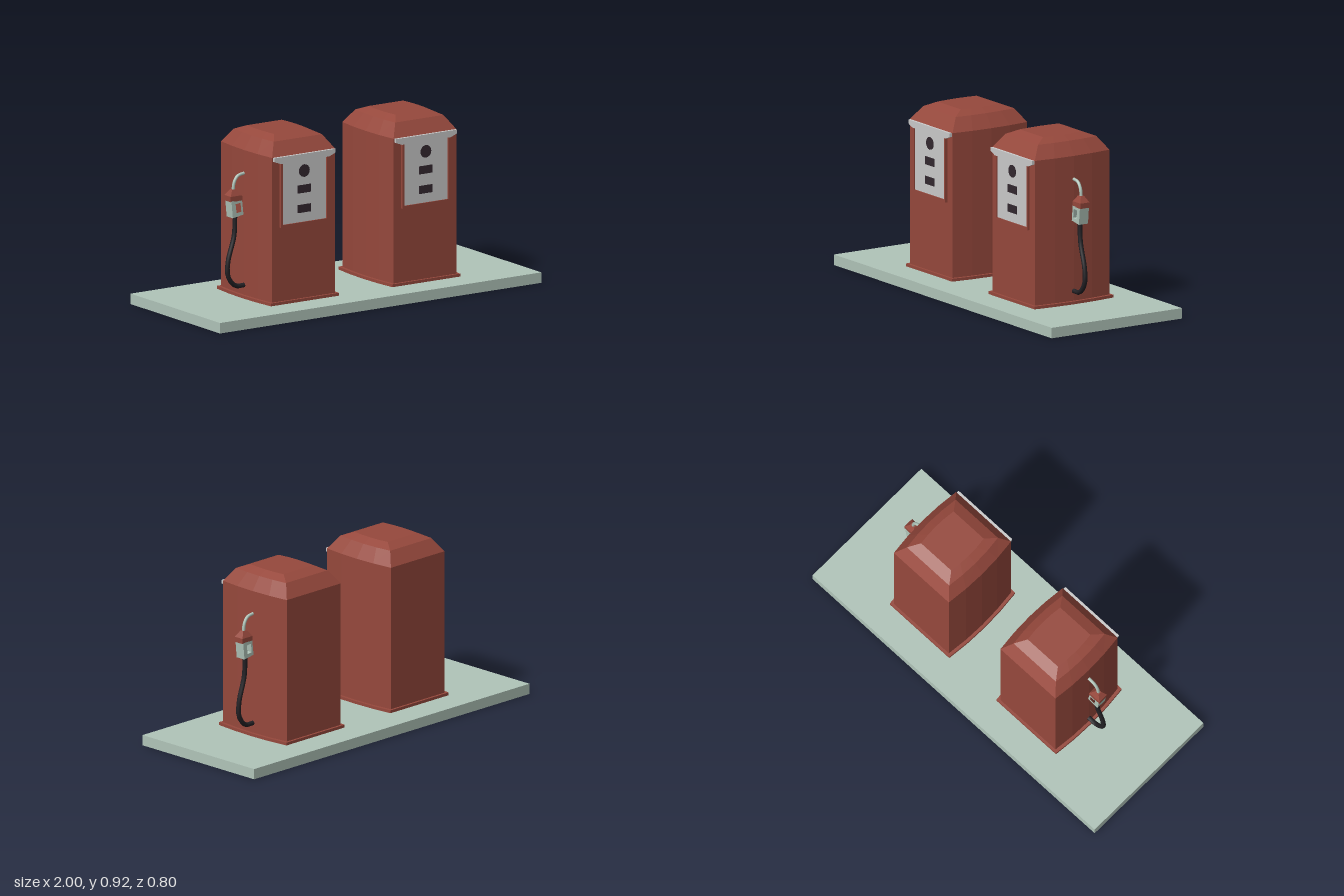
import * as THREE from 'three';

const mat = (name, color) => {
  const m = new THREE.MeshStandardMaterial({ color });
  m.name = name;
  return m;
};

// Solid skinned over stacked rings, each running counter-clockwise from above
function loft(rings) {
  const n = rings[0].length, idx = [], last = (rings.length - 1) * n;
  for (let r = 0; r < rings.length - 1; r++) {
    for (let i = 0; i < n; i++) {
      const j = (i + 1) % n, a = r * n + i, b = r * n + j;
      idx.push(a, b, b + n, a, b + n, a + n);
    }
  }
  for (let i = 1; i < n - 1; i++) {
    idx.push(0, i + 1, i, last, last + i, last + i + 1);
  }
  const g = new THREE.BufferGeometry();
  g.setAttribute('position', new THREE.Float32BufferAttribute(rings.flat(2), 3));
  g.setIndex(idx);
  const flat = g.toNonIndexed();
  flat.computeVertexNormals();
  return flat;
}

// Rectangle ring whose two sides bow outward by "bulge"
function bowedRing(y, halfX, halfZ, bulge) {
  const side = [1, 0.5, 0, -0.5, -1].map(t => [halfX + bulge * (1 - t * t), y, t * halfZ]);
  return [...side, ...side.map(([x, yy, z]) => [-x, yy, -z])];
}

function rectRing(y, xa, xb, z) {
  const a = Math.min(xa, xb), b = Math.max(xa, xb);
  return [[b, y, z], [b, y, -z], [a, y, -z], [a, y, z]];
}

const toShape = pts => new THREE.Shape(pts.map(([x, y]) => new THREE.Vector2(x, y)));

function extrude(pts, z, depth, hole) {
  const shape = toShape(pts);
  if (hole) shape.holes.push(toShape(hole));
  return new THREE.ExtrudeGeometry(shape, { depth, bevelEnabled: false }).translate(0, 0, z);
}

const rect = (hx, y0, y1) => [[-hx, y0], [hx, y0], [hx, y1], [-hx, y1]];

export function createModel() {
  const red = mat('red paint', 0x96483c);
  const pale = mat('pale green', 0xb0c4b9);
  const grey = mat('light grey', 0xcacaca);
  const dark = mat('dark display', 0x33282f);
  const rubber = mat('black rubber', 0x222024);

  const model = new THREE.Group();
  model.name = 'fuelStation';
  const add = (parent, name, geometry, material, x = 0, y = 0, z = 0) => {
    const m = new THREE.Mesh(geometry, material);
    m.name = name;
    m.position.set(x, y, z);
    parent.add(m);
    return m;
  };

  add(model, 'platform', new THREE.BoxGeometry(2, 0.055, 0.804), pale, 0, 0.0275, 0);

  // s is the side the hose hangs on
  for (const [s, cx] of [[-1, -0.362], [1, 0.394]]) {
    const pump = new THREE.Group();
    pump.name = s > 0 ? 'leftPump' : 'rightPump';
    pump.position.x = cx;
    model.add(pump);

    // Cabinet with a faceted roof, and its foot
    add(pump, 'cabinet', loft([
      bowedRing(0.055, 0.195, 0.23, 0.016),
      bowedRing(0.83, 0.195, 0.23, 0.016),
      bowedRing(0.9, 0.15, 0.18, 0.013),
      bowedRing(0.924, 0.107, 0.12, 0.009),
    ]), red);
    add(pump, 'foot', loft([
      bowedRing(0.055, 0.211, 0.243, 0.016),
      bowedRing(0.07, 0.211, 0.243, 0.016),
    ]), red);

    // Front panel, frame and top trim
    add(pump, 'panelFrame', extrude(rect(0.148, 0.458, 0.808), 0.229, 0.014, rect(0.137, 0.472, 0.8)), red);
    add(pump, 'panel', new THREE.BoxGeometry(0.276, 0.33, 0.008), grey, 0, 0.636, 0.233);
    add(pump, 'topTrim', extrude(
      [[-0.152, 0.795], [0.152, 0.795], [0.19, 0.81], [0.19, 0.83], [-0.19, 0.83], [-0.19, 0.81]],
      0.229, 0.015), grey);

    // Dial and displays
    add(pump, 'dial', new THREE.CylinderGeometry(0.033, 0.033, 0.004, 16).rotateX(Math.PI / 2), dark, 0, 0.74, 0.238);
    for (const y of [0.645, 0.542]) {
      add(pump, 'display', new THREE.BoxGeometry(0.082, 0.042, 0.004), dark, 0, y, 0.238);
    }

    // Hose and nozzle
    const mirror = pts => pts.map(([x, y]) => [x * s, y]);
    const tube = (pts, segments, radius, sides) => {
      const path = new THREE.CatmullRomCurve3(
        mirror(pts).map(([x, y]) => new THREE.Vector3(x, y, 0)), false, 'centripetal');
      return new THREE.TubeGeometry(path, segments, radius, sides);
    };
    add(pump, 'hose', tube(
      [[0.2, 0.122], [0.265, 0.124], [0.31, 0.18], [0.31, 0.256], [0.272, 0.39], [0.267, 0.5]],
      18, 0.0125, 8), rubber);
    add(pump, 'nozzleHandle', extrude(
      mirror([[0.233, 0.499], [0.299, 0.488], [0.308, 0.578], [0.242, 0.578]]), -0.028, 0.056,
      mirror([[0.246, 0.516], [0.276, 0.512], [0.282, 0.56], [0.252, 0.563]])), pale);
    add(pump, 'nozzleCap', loft([
      rectRing(0.574, 0.239 * s, 0.312 * s, 0.028),
      rectRing(0.602, 0.241 * s, 0.313 * s, 0.028),
      rectRing(0.634, 0.264 * s, 0.29 * s, 0.01),
    ]), red);
    add(pump, 'spout', tube(
      [[0.279, 0.62], [0.271, 0.67], [0.249, 0.7], [0.2, 0.71]], 12, 0.0085, 8), pale);
  }
  return model;
}
